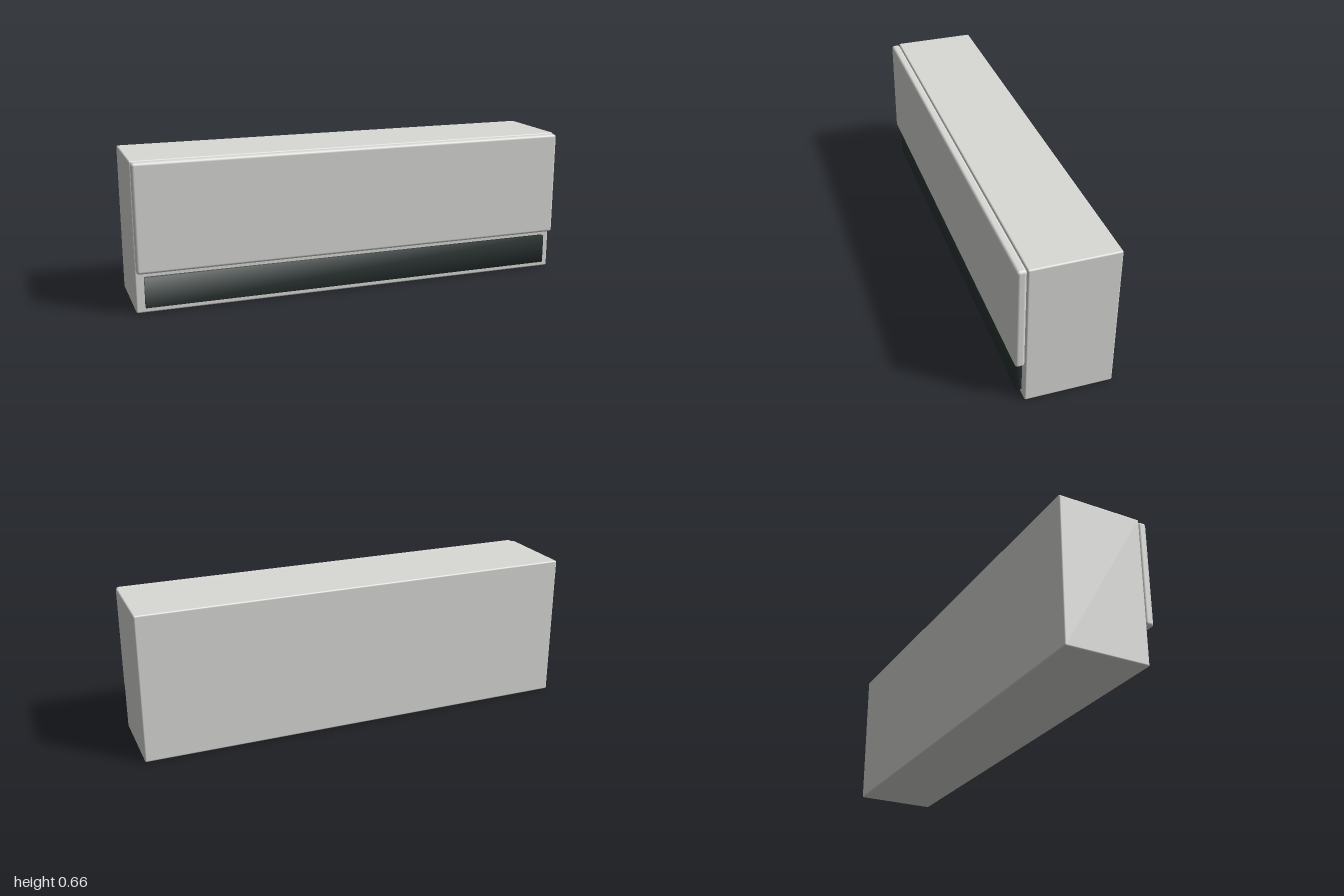
import * as THREE from 'three';
import { mergeVertices } from 'three/addons/utils/BufferGeometryUtils.js';
import { RoundedBoxGeometry } from 'three/addons/geometries/RoundedBoxGeometry.js';

const casing = new THREE.MeshStandardMaterial({ color: 0xd9d9d6 });
casing.name = 'light grey casing';
const dark = new THREE.MeshStandardMaterial({ color: 0x2b3634 });
dark.name = 'dark vent';

// Box with corner normals shared between its faces, for soft shading
function softBox(w, h, d) {
  const box = new THREE.BoxGeometry(w, h, d);
  box.deleteAttribute('normal');
  box.deleteAttribute('uv');
  const geometry = mergeVertices(box);
  geometry.computeVertexNormals();
  return geometry;
}

function part(name, geometry, material, y, z) {
  const mesh = new THREE.Mesh(geometry, material);
  mesh.name = name;
  mesh.position.set(0, y, z);
  return mesh;
}

export function createModel() {
  const group = new THREE.Group();
  group.name = 'wallAirConditioner';
  group.add(
    // Main housing
    part('housing', new RoundedBoxGeometry(2, 0.661, 0.38, 3, 0.007), casing, 0.3305, -0.02),
    // Raised front cover with rounded rim
    part('frontCover', new RoundedBoxGeometry(1.992, 0.476, 0.04, 4, 0.013), casing, 0.42, 0.19),
    // Air outlet below the cover, set partly into the housing
    part('airOutlet', softBox(1.924, 0.133, 0.04), dark, 0.0935, 0.172),
  );
  return group;
}
